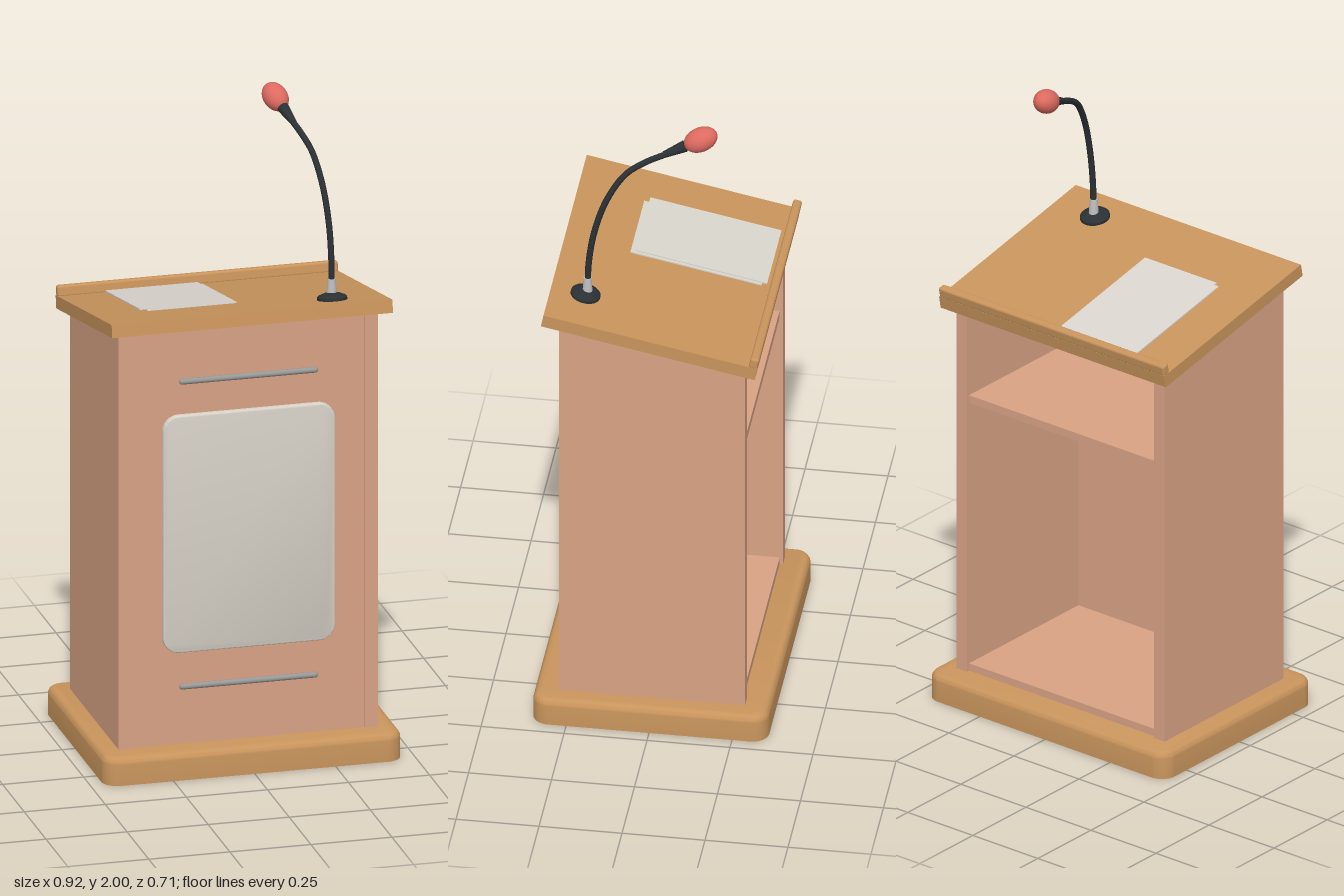
import * as THREE from 'three';
import { toCreasedNormals } from 'three/addons/utils/BufferGeometryUtils.js';
import { RoundedBoxGeometry } from 'three/addons/geometries/RoundedBoxGeometry.js';

const mat = (name, color, side = THREE.FrontSide) => {
  const m = new THREE.MeshStandardMaterial({ color, side });
  m.name = name;
  return m;
};

function roundedRect(w, h, r) {
  const x = w / 2, y = h / 2, s = new THREE.Shape();
  s.moveTo(-x + r, -y);
  s.lineTo(x - r, -y).absarc(x - r, -y + r, r, -Math.PI / 2, 0);
  s.lineTo(x, y - r).absarc(x - r, y - r, r, 0, Math.PI / 2);
  s.lineTo(-x + r, y).absarc(-x + r, y - r, r, Math.PI / 2, Math.PI);
  s.lineTo(-x, -y + r).absarc(-x + r, -y + r, r, Math.PI, Math.PI * 1.5);
  return s;
}

// Rounded slab from z = 0 to z = depth, with only its outer face edge rounded
function slab(w, h, r, depth, bevel) {
  const g = new THREE.ExtrudeGeometry(roundedRect(w, h, r), {
    depth: depth - bevel, bevelThickness: bevel, bevelSize: bevel,
    bevelOffset: -bevel, bevelSegments: 5, curveSegments: 10,
  });
  const p = g.attributes.position;
  for (let i = 0; i < p.count; i++) p.setZ(i, Math.max(0, p.getZ(i)));
  return toCreasedNormals(g, 0.6);
}

export function createModel() {
  const model = new THREE.Group();
  model.name = 'lectern';

  const wood = mat('golden wood', 0xc8945c);
  const carcass = mat('reddish wood', 0xd9a284);
  const plateMat = mat('pale panel', 0xd6d0c6);
  const paperMat = mat('paper', 0xdad6ce);
  const steel = mat('steel', 0x989896);
  const chrome = mat('chrome', 0xc0c0c0);
  const black = mat('black', 0x2b3034, THREE.DoubleSide);
  const red = mat('red foam', 0xdd6a60);

  const add = (name, geo, material, x = 0, y = 0, z = 0, parent = model) => {
    const m = new THREE.Mesh(geo, material);
    m.name = name;
    m.position.set(x, y, z);
    parent.add(m);
    return m;
  };
  const box = (w, h, d) => new THREE.BoxGeometry(w, h, d);

  // Plinth
  add('base', slab(0.92, 0.71, 0.05, 0.087, 0.022).rotateX(-Math.PI / 2), wood);

  // Side panels with sloping tops
  const side = new THREE.Shape([[-0.28, 0.085], [0.28, 0.085], [0.28, 1.401], [-0.28, 1.289]]
    .map(([z, y]) => new THREE.Vector2(z, y)));
  for (const x of [0.4, -0.36]) {
    const g = new THREE.ExtrudeGeometry(side, { depth: 0.04, bevelEnabled: false });
    add(x > 0 ? 'leftSide' : 'rightSide', g.rotateY(-Math.PI / 2), carcass, x);
  }

  // Front board and inner shelves
  add('frontBoard', box(0.72, 1.31, 0.03), carcass, 0, 0.74, 0.26);
  add('lowerShelf', box(0.72, 0.025, 0.515), carcass, 0, 0.0985, -0.0125);
  add('upperShelf', box(0.72, 0.025, 0.515), carcass, 0, 0.985, -0.0125);

  // Front plate with a rail above and below
  add('frontPlate', slab(0.53, 0.75, 0.05, 0.018, 0.005), plateMat, 0, 0.755, 0.275);
  for (const y of [0.27, 1.235]) {
    const rail = add('rail', new THREE.CapsuleGeometry(0.009, 0.41, 6, 14), steel, 0, y, 0.282);
    rail.rotation.z = Math.PI / 2;
  }

  // Sloping desk: local y = 0 is its top surface
  const desk = new THREE.Group();
  desk.name = 'desk';
  desk.position.y = 1.385;
  desk.rotation.x = -Math.atan(0.2);
  model.add(desk);
  add('deskTop', box(0.866, 0.04, 0.657), wood, 0, -0.02, 0, desk);
  add('deskLip', new RoundedBoxGeometry(0.866, 0.036, 0.027, 3, 0.008), wood, 0, 0.014, -0.315, desk);

  // Two slightly shifted sheets
  add('lowerSheet', box(0.275, 0.004, 0.403), paperMat, -0.1325, 0.002, -0.074, desk);
  add('upperSheet', box(0.285, 0.004, 0.403), paperMat, -0.1475, 0.005, -0.089, desk);

  // Microphone foot on the desk
  const foot = [[0, 0], [0.045, 0], [0.045, 0.008], [0.04, 0.013], [0.022, 0.02], [0, 0.022]]
    .map(([r, y]) => new THREE.Vector2(r, y));
  add('microphoneFoot', toCreasedNormals(new THREE.LatheGeometry(foot, 32), 0.5), black, 0.275, 0, 0.224, desk);

  // Collar and gooseneck
  add('collar', new THREE.CylinderGeometry(0.012, 0.015, 0.05, 20), chrome, 0.275, 1.468, 0.213);
  const neck = new THREE.CatmullRomCurve3([
    [0.275, 1.45, 0.213], [0.275, 1.55, 0.209], [0.272, 1.66, 0.192], [0.262, 1.77, 0.156],
    [0.246, 1.855, 0.102], [0.23, 1.893, 0.045], [0.215, 1.918, -0.015], [0.206, 1.938, -0.06],
  ].map((p) => new THREE.Vector3(...p)));
  add('gooseneck', new THREE.TubeGeometry(neck, 48, 0.0095, 12), black);

  // Tapered holder and foam head along the end of the neck
  const start = new THREE.Vector3(0.216, 1.917, -0.01);
  const head = new THREE.Vector3(0.189, 1.963, -0.115);
  const dir = head.clone().sub(start).normalize();
  const turn = new THREE.Quaternion().setFromUnitVectors(new THREE.Vector3(0, 1, 0), dir);
  const mid = start.clone().addScaledVector(dir, 0.032);
  add('microphoneHolder', new THREE.CylinderGeometry(0.018, 0.01, 0.07, 20), black, mid.x, mid.y, mid.z)
    .quaternion.copy(turn);
  add('microphoneHead', new THREE.SphereGeometry(0.037, 28, 20).scale(1, 1.42, 1), red, head.x, head.y, head.z)
    .quaternion.copy(turn);

  return model;
}
